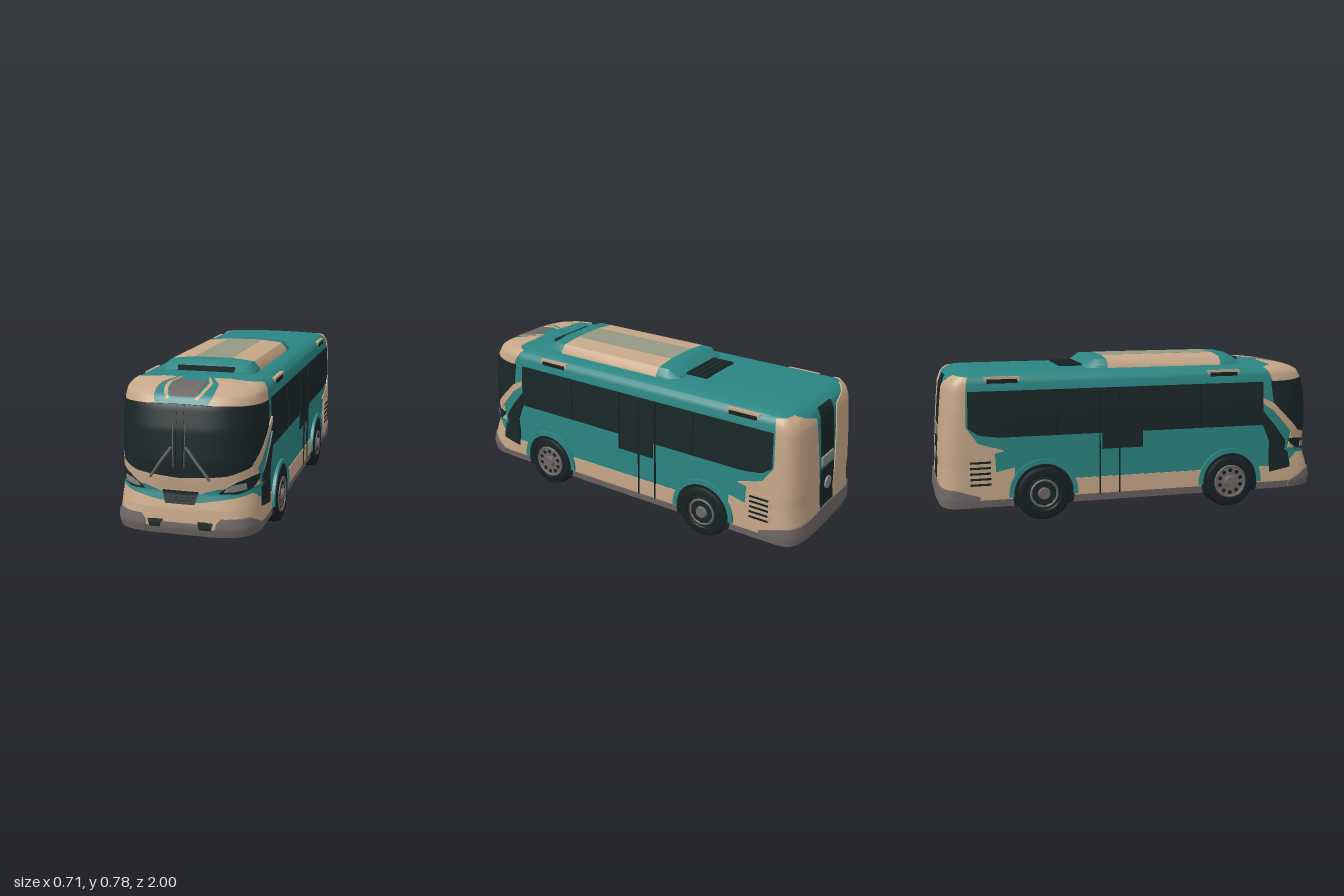
import * as THREE from 'three';
import { toCreasedNormals } from 'three/addons/utils/BufferGeometryUtils.js';

const mat = (name, color) => { const m = new THREE.MeshStandardMaterial({ color }); m.name = name; return m; };

// Body profile by height: y, half width, front z, rear z, front corner squareness
const PROFILE = [
  [.08, .325, .976, -.985, 4.5], [.12, .33, .986, -.988, 4.5], [.2, .33, .978, -.98, 3.8], [.27, .33, .962, -.975, 3.2],
  [.33, .332, .973, -.975, 3], [.42, .332, .98, -.97, 3], [.55, .33, .972, -.96, 3], [.65, .325, .95, -.95, 3],
  [.69, .318, .925, -.935, 3], [.71, .3, .87, -.91, 3], [.722, .27, .81, -.88, 3], [.73, .2, .74, -.84, 3], [.735, .05, .7, -.82, 3]];
const ZF = .62, ZB = -.8, NB = 5, Q = Math.PI / 2;

function profileAt(y) {
  let i = 0;
  while (i < PROFILE.length - 2 && y > PROFILE[i + 1][0]) i++;
  const a = PROFILE[i], b = PROFILE[i + 1], t = THREE.MathUtils.clamp((y - a[0]) / (b[0] - a[0]), 0, 1);
  return a.map((v, k) => v + (b[k] - v) * t);
}
// Point on the body: u runs 0 front centre, 1 side start, 2 side end, 3 rear centre, and back to 6
function bodyPoint(u, y, o = 0) {
  u = ((u % 6) + 6) % 6;
  const s = u > 3 ? -1 : 1;
  if (s < 0) u = 6 - u;
  const [, w, zf, zb, n] = profileAt(y);
  let x = w + o, z;
  const corner = (a, p) => { const c = Math.cos(a), d = Math.sin(a), r = (Math.abs(c) ** p + Math.abs(d) ** p) ** (-1 / p); return [r * c, r * d]; };
  if (u < 1) { const [c, d] = corner(u * Q, n); x *= d; z = ZF + (zf + o - ZF) * c; }
  else if (u <= 2) z = ZF + (ZB - ZF) * (u - 1);
  else { const [c, d] = corner((u - 2) * Q, NB); x *= c; z = ZB + (zb - o - ZB) * d; }
  return [s * x, y + (y > .7 ? o : 0), z];
}
// u from front x, from side z, and from rear x
const root = (v, n) => Math.max(0, 1 - v ** n) ** (1 / n);
const X = x => Math.sign(x) * Math.atan2(Math.abs(x) / .332, root(Math.abs(x) / .332, 3)) / Q;
const Z = z => {
  if (z > ZF) { const c = Math.min(1, (z - ZF) / .355); return Math.atan2(root(c, 3), c) / Q; }
  if (z >= ZB) return 1 + (ZF - z) / (ZF - ZB);
  const c = Math.min(1, (ZB - z) / .17); return 2 + Math.atan2(c, root(c, NB)) / Q;
};
const R = x => 3 - Math.atan2(x / .33, root(x / .33, NB)) / Q;

// Mesh from rows of points
function sheet(rows) {
  const pos = rows.flat(2), n = rows[0].length, idx = [];
  for (let j = 0; j < rows.length - 1; j++) for (let i = 0; i < n - 1; i++) {
    const a = j * n + i, c = a + n;
    idx.push(a, a + 1, c + 1, a, c + 1, c);
  }
  const g = new THREE.BufferGeometry();
  g.setAttribute('position', new THREE.Float32BufferAttribute(pos, 3));
  g.setIndex(idx);
  return toCreasedNormals(g, .7);
}
// Panel hugging the body between two paired edges of [u, y], raised by o with closed rims
function panelGeometry(lower, upper, o) {
  const cols = [];
  let h = 0;
  lower.forEach((a, i) => {
    h = Math.max(h, upper[i][1] - a[1]);
    if (i === lower.length - 1) { cols.push([a, upper[i]]); return; }
    const b = lower[i + 1], c = upper[i], d = upper[i + 1];
    const k = Math.ceil(Math.max(Math.abs(b[0] - a[0]), Math.abs(d[0] - c[0])) * 24) + 1;
    const mix = (p, q, t) => [p[0] + (q[0] - p[0]) * t, p[1] + (q[1] - p[1]) * t];
    for (let t = 0; t < k; t++) cols.push([mix(a, b, t / k), mix(c, d, t / k)]);
  });
  const nv = Math.ceil(h / .015) + 2, nu = cols.length - 1, rows = [];
  for (let j = -1; j <= nv + 1; j++) {
    const row = [];
    for (let i = -1; i <= nu + 1; i++) {
      const [a, b] = cols[Math.min(nu, Math.max(0, i))], t = Math.min(1, Math.max(0, j / nv));
      const rim = i < 0 || j < 0 || i > nu || j > nv;
      row.push(bodyPoint(a[0] + (b[0] - a[0]) * t, a[1] + (b[1] - a[1]) * t, rim ? 0 : o));
    }
    rows.push(row);
  }
  return sheet(rows);
}

export function createModel() {
  const bus = new THREE.Group();
  const teal = mat('teal paint', 0x2b8582), tan = mat('tan paint', 0xc6a788), grey = mat('grey plastic', 0x6e6765),
    glass = mat('dark glass', 0x192627), black = mat('black rubber', 0x162021),
    lens = mat('lens', 0x82877f), hatch = mat('roof hatch', 0x969884);
  const add = (name, geo, m, x = 0, y = 0, z = 0) => {
    const mesh = new THREE.Mesh(geo, m); mesh.name = name; mesh.position.set(x, y, z); bus.add(mesh); return mesh;
  };
  const box = (name, m, w, h, d, x, y, z) => add(name, new THREE.BoxGeometry(w, h, d), m, x, y, z);
  const panel = (name, m, lo, up, o = .004) => add(name, panelGeometry(lo, up, o), m);
  const flip = e => e.map(([u, y]) => [-u, y]).reverse();
  const pair = (name, m, lo, up, o) => { panel(name, m, lo, up, o); panel(name, m, flip(lo), flip(up), o); };
  const rect = (u0, u1, y0, y1) => [[[u0, y0], [u1, y0]], [[u0, y1], [u1, y1]]];

  // Body shell, roof cap and floor
  const shell = [];
  PROFILE.forEach((p, i) => {
    const k = i < PROFILE.length - 1 ? 3 : 1;
    for (let t = 0; t < k; t++) {
      const y = k > 1 ? p[0] + (PROFILE[i + 1][0] - p[0]) * t / k : p[0];
      shell.push(Array.from({ length: 145 }, (_, c) => bodyPoint(c / 24, y)));
    }
  });
  add('bodyShell', sheet(shell), teal);
  const capShape = y => new THREE.Shape(Array.from({ length: 144 }, (_, c) => { const p = bodyPoint(c / 24, y); return new THREE.Vector2(p[0], -p[2]); }));
  add('roofCap', new THREE.ShapeGeometry(capShape(.735)).rotateX(-Q), teal, 0, .735);
  add('floor', new THREE.ShapeGeometry(capShape(.08)).rotateX(-Q).rotateZ(Math.PI), grey, 0, .08);

  // Lower bands and bumpers
  panel('skirt', grey, ...rect(0, 6, .08, .116));
  panel('lowerBand', tan, ...rect(0, 6, .116, .2));
  panel('rearBumper', grey, [[Z(-.8), .09], [Z(-.9), .1], [3, .11], [6 - Z(-.9), .1], [6 - Z(-.8), .09]],
    [[Z(-.8), .135], [Z(-.9), .17], [3, .19], [6 - Z(-.9), .17], [6 - Z(-.8), .135]], .012);
  pair('frontBumperCorner', grey, [[X(.155), .083], [X(.185), .083], [X(.27), .083], [Z(.8), .083]],
    [[X(.155), .14], [X(.175), .165], [X(.275), .165], [Z(.8), .115]], .01);
  panel('frontBumperLip', grey, [[-X(.095), .085], [X(.095), .085]], [[-X(.08), .138], [X(.08), .138]], .014);
  pair('bumperIntake', glass, [[X(.08), .112], [X(.135), .112]], [[X(.08), .15], [X(.145), .145]], .007);
  panel('bumperCentre', tan, [[-X(.13), .15], [X(.13), .15]], [[-X(.115), .222], [X(.115), .222]], .01);

  // Front face
  panel('frontMask', tan, [[-Z(.8), .2], [0, .2], [Z(.8), .2]], [[-Z(.83), .38], [0, .345], [Z(.83), .38]], .004);
  pair('frontStripe', teal, [[0, .228], [X(.09), .232], [X(.18), .246], [X(.29), .262], [Z(.8), .22]],
    [[0, .27], [X(.09), .27], [X(.165), .293], [X(.29), .285], [Z(.8), .29]], .006);
  panel('grille', glass, [[-X(.065), .222], [X(.065), .222]], [[-X(.08), .277], [X(.08), .277]], .012);
  for (const y of [.235, .248, .261]) panel('grilleSlat', black, ...rect(-X(.06), X(.06), y, y + .004), .016);
  pair('headlightHousing', glass, [[X(.165), .272], [X(.24), .268], [X(.29), .285], [X(.31), .315]],
    [[X(.175), .285], [X(.24), .322], [X(.29), .337], [X(.312), .338]], .008);
  pair('headlightLens', lens, [[X(.185), .28], [X(.225), .28], [X(.27), .286]], [[X(.195), .296], [X(.225), .31], [X(.268), .314]], .011);
  const glassLow = [[Z(.72), .53], [Z(.8), .45], [X(.3), .385], [X(.2), .352], [0, .338]];
  const glassTop = [[Z(.71), .645], [Z(.8), .645], [X(.3), .647], [X(.2), .653], [0, .658]];
  const whole = e => [...e.map(([u, y]) => [-u, y]), ...e.slice(0, -1).reverse()];
  panel('windscreen', glass, whole(glassLow), whole(glassTop), .006);
  pair('windscreenSeam', black, ...rect(X(.014), X(.017), .37, .655), .008);
  pair('windscreenPillar', tan, [[X(.29), .33], [Z(.8), .4], [Z(.72), .49], [Z(.66), .53]],
    [[X(.29), .385], [Z(.8), .45], [Z(.72), .53], [Z(.66), .56]], .007);
  pair('cornerWindow', glass, [[Z(.81), .19], [Z(.7), .17]], [[Z(.81), .27], [Z(.7), .34]], .008);
  pair('cornerWindowUpper', glass, [[Z(.79), .285], [Z(.7), .33], [Z(.66), .42]], [[Z(.79), .33], [Z(.72), .42], [Z(.66), .49]], .007);

  // Roof brow
  pair('roofBrow', tan, [[X(.12), .657], [X(.25), .643], [Z(.72), .638]], [[X(.16), .731], [X(.25), .73], [Z(.7), .715]], .004);
  panel('browInset', grey, [[-X(.055), .687], [X(.055), .687]], [[-X(.095), .726], [X(.095), .726]], .004);
  pair('browStripe', tan, [[X(.057), .68], [X(.07), .675]], [[X(.115), .731], [X(.135), .731]], .004);

  // Wipers
  for (const s of [-1, 1]) {
    const p = (x, y) => new THREE.Vector3(...bodyPoint(X(x * s), y, .014));
    const rod = (name, pts, r) => add(name, new THREE.TubeGeometry(new THREE.CatmullRomCurve3(pts), 8, r, 6), grey);
    rod('wiperArm', [p(.13, .335), p(.08, .41), p(.03, .48)], .0065);
    rod('wiperBlade', [p(.017, .39), p(.025, .48), p(.032, .58)].map(v => v.setX(s * .02 + v.x * .25)), .002);
  }

  // Side windows, doors and vents
  pair('sideWindows', glass, [[Z(.66), .42], [Z(.3), .42], [Z(-.7), .42], [Z(-.85), .47]],
    [[Z(.66), .643], [Z(.3), .643], [Z(-.7), .643], [Z(-.85), .643]], .004);
  pair('doorGlass', glass, ...rect(Z(.005), Z(-.195), .34, .643), .007);
  for (const [z, y] of [[.012, .34], [-.105, .115], [-.205, .115]]) pair('doorSeam', black, ...rect(Z(z), Z(z - .005), y, .643), .0085);
  for (const z of [.32, -.42]) pair('windowPost', black, ...rect(Z(z), Z(z - .008), .425, .64), .006);
  pair('rearQuarter', tan, [[Z(-.63), .2], [Z(-.72), .2], [Z(-.725), .2], [Z(-.86), .2]],
    [[Z(-.63), .27], [Z(-.72), .25], [Z(-.725), .37], [Z(-.86), .475]], .005);
  pair('rearQuarterPoint', tan, [[Z(-.68), .352], [Z(-.726), .345]], [[Z(-.68), .356], [Z(-.726), .372]], .005);
  pair('rearCorner', tan, [[Z(-.86), .2], [R(.27), .2], [R(.072), .2]], [[Z(-.86), .705], [R(.27), .712], [R(.11), .66]], .005);
  pair('engineVent', tan, ...rect(Z(-.735), Z(-.85), .175, .325), .009);
  for (let i = 0; i < 5; i++) pair('engineVentSlat', black, ...rect(Z(-.745), Z(-.84), .19 + i * .027, .2 + i * .027), .011);

  // Rear centre panel
  panel('rearWindow', glass, ...rect(R(.068), 6 - R(.068), .455, .695), .006);
  panel('rearLamp', lens, ...rect(R(.06), 6 - R(.06), .405, .448), .01);
  panel('rearHatch', glass, ...rect(R(.07), 6 - R(.07), .17, .385), .006);
  add('rearCap', new THREE.CylinderGeometry(.032, .032, .012, 20).rotateX(Q), lens, 0, .3, -.983);

  // Roof unit: lofted hood with tan middle and hatch
  const hood = (z, w, h) => [[-1, 0], [-.985, .25], [-.87, .8], [-.4, 1], [.4, 1], [.87, .8], [.985, .25], [1, 0]]
    .map(([a, b]) => [w * a, .725 + h * b, z]);
  const part = (name, m, secs) => add(name, sheet(secs.map(s => hood(...s))), m);
  part('roofUnitFront', teal, [[.585, .21, 0], [.585, .21, .012], [.53, .228, .055], [.46, .23, .055]]);
  part('roofUnitMiddle', tan, [[.46, .23, .055], [-.14, .23, .055]]);
  part('roofUnitRear', teal, [[-.14, .23, .055], [-.2, .228, .055], [-.255, .2, .012], [-.255, .2, 0]]);
  box('roofHatch', hatch, .18, .006, .6, 0, .778, .16);
  box('roofUnitIntake', glass, .27, .022, .02, 0, .746, .578);
  box('roofGrille', glass, .26, .012, .12, -.005, .735, -.31);
  for (let i = 0; i < 4; i++) box('roofGrilleBar', black, .25, .004, .012, -.005, .742, -.355 + i * .03);
  for (const s of [-1, 1]) for (const z of [.445, -.68]) {
    box('roofVent', tan, .04, .034, .17, s * .298, .692, z);
    box('roofVentSlot', black, .006, .02, .145, s * .317, .688, z);
  }

  // Wheels and arches
  const well = new THREE.Shape().absarc(0, 0, .152, -.37, Math.PI + .37, false);
  const arch = new THREE.Shape().absarc(0, 0, .17, -.06, Math.PI + .06, false);
  arch.absarc(0, 0, .147, Math.PI + .06, -.06, true);
  const ext = (s, depth) => new THREE.ExtrudeGeometry(s, { depth, bevelEnabled: false, curveSegments: 28 });
  const tyre = [[.08, .225], [.125, .225], [.135, .24], [.135, .325], [.128, .342], [.115, .347], [.088, .345], [.08, .33]]
    .map(([r, y]) => new THREE.Vector2(r, y));
  for (const s of [-1, 1]) for (const z of [.48, -.49]) {
    const front = z > 0;
    add('wheelWell', ext(well, .03), black, s * .309, .135, z).rotation.y = s * Q;
    add('wheelArch', ext(arch, .03), teal, s * .315, .135, z).rotation.y = s * Q;
    const wheel = new THREE.Group();
    wheel.name = front ? 'frontWheel' : 'rearWheel';
    const put = (name, g, m, x = 0, y = 0, zz = 0) => { const q = new THREE.Mesh(g, m); q.name = name; q.position.set(x, y, zz); wheel.add(q); };
    put('tyre', toCreasedNormals(new THREE.LatheGeometry(tyre, 36), .6), black);
    put('tyreInnerWall', new THREE.CylinderGeometry(.085, .085, .1, 24), black, 0, .276);
    put('rim', new THREE.CylinderGeometry(.08, .084, .012, 28), front ? grey : glass, 0, .338);
    put('rimRing', new THREE.TorusGeometry(front ? .08 : .065, .006, 6, 28).rotateX(Q), grey, 0, .344);
    put('hub', new THREE.CylinderGeometry(.026, .034, .02, 16), grey, 0, .347);
    for (let i = 0; i < 10; i++) {
      const a = i * Math.PI / 5;
      put('rimHole', new THREE.CylinderGeometry(.011, .011, .004, 8), black, Math.cos(a) * .058, .344, Math.sin(a) * .058);
    }
    wheel.rotation.z = -s * Q;
    wheel.position.set(0, .135, z);
    bus.add(wheel);
  }
  return bus;
}
